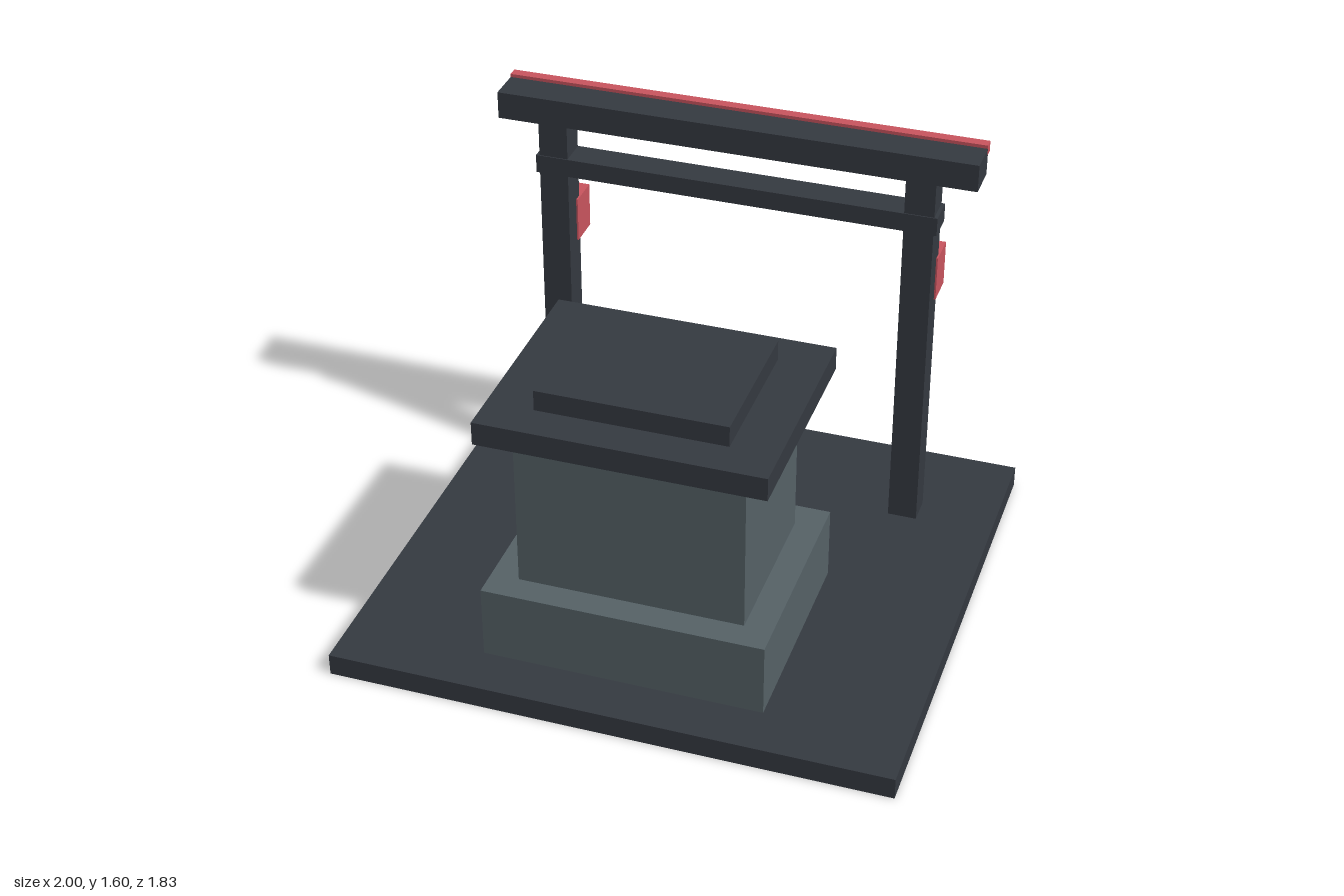
import * as THREE from 'three';

const material = (name, color) => {
  const m = new THREE.MeshStandardMaterial({ color });
  m.name = name;
  return m;
};

export function createModel() {
  const group = new THREE.Group();
  const dark = material('charcoal', 0x353a41);
  const stone = material('grey stone', 0x566267);
  const red = material('soft red', 0xca555f);

  const add = (name, geometry, mat, x, y, z) => {
    const mesh = new THREE.Mesh(geometry, mat);
    mesh.name = name;
    mesh.position.set(x, y, z);
    group.add(mesh);
  };
  // Box given by its extents on each axis
  const box = (name, mat, [x0, x1], [y0, y1], [z0, z1]) =>
    add(name, new THREE.BoxGeometry(x1 - x0, y1 - y0, z1 - z0), mat,
      (x0 + x1) / 2, (y0 + y1) / 2, (z0 + z1) / 2);
  const wide = (h) => [-h, h];

  // Ground slab
  box('base', dark, wide(1), [0, 0.08], [-0.915, 0.915]);

  // Shrine building
  box('plinth', stone, wide(0.5), [0.08, 0.35], [-0.065, 0.735]);
  box('shrineBody', stone, wide(0.4), [0.35, 0.95], [0.037, 0.636]);
  box('roof', dark, wide(0.5), [0.95, 1.035], [-0.065, 0.735]);
  box('roofCap', dark, wide(0.333), [1.035, 1.11], [0.067, 0.604]);

  // Altar niche on the back wall
  box('nicheFrame', dark, wide(0.23), [0.437, 0.835], [-0.015, 0.037]);
  box('nichePanel', red, wide(0.163), [0.487, 0.787], [-0.024, -0.015]);
  box('nicheTablet', dark, wide(0.05), [0.505, 0.67], [-0.056, -0.024]);

  // Offerings in front of the niche
  box('largeOfferingBox', dark, [-0.31, -0.16], [0.08, 0.2], [-0.185, -0.065]);
  box('smallOfferingBox', dark, [0.135, 0.265], [0.08, 0.175], [-0.163, -0.063]);
  add('incenseBowl', new THREE.CylinderGeometry(0.083, 0.083, 0.106, 24), dark, 0, 0.133, -0.135);
  add('ember', new THREE.SphereGeometry(0.008, 12, 8), dark, 0, 0.236, -0.132);

  // Gate: posts with lanterns, mirrored
  for (const side of [-1, 1]) {
    const x = side * 0.667;
    box('gatePost', dark, [x - 0.053, x + 0.053], [0.08, 1.485], [-0.585, -0.48]);
    box('lantern', red, [x - 0.059, x + 0.059], [0.985, 1.152], [-0.675, -0.553]);
  }
  box('tieBeam', dark, wide(0.732), [1.285, 1.353], [-0.588, -0.476]);
  box('topBeam', dark, wide(0.865), [1.485, 1.585], [-0.6, -0.466]);
  box('beamTrim', red, wide(0.865), [1.558, 1.597], [-0.63, -0.593]);

  return group;
}
